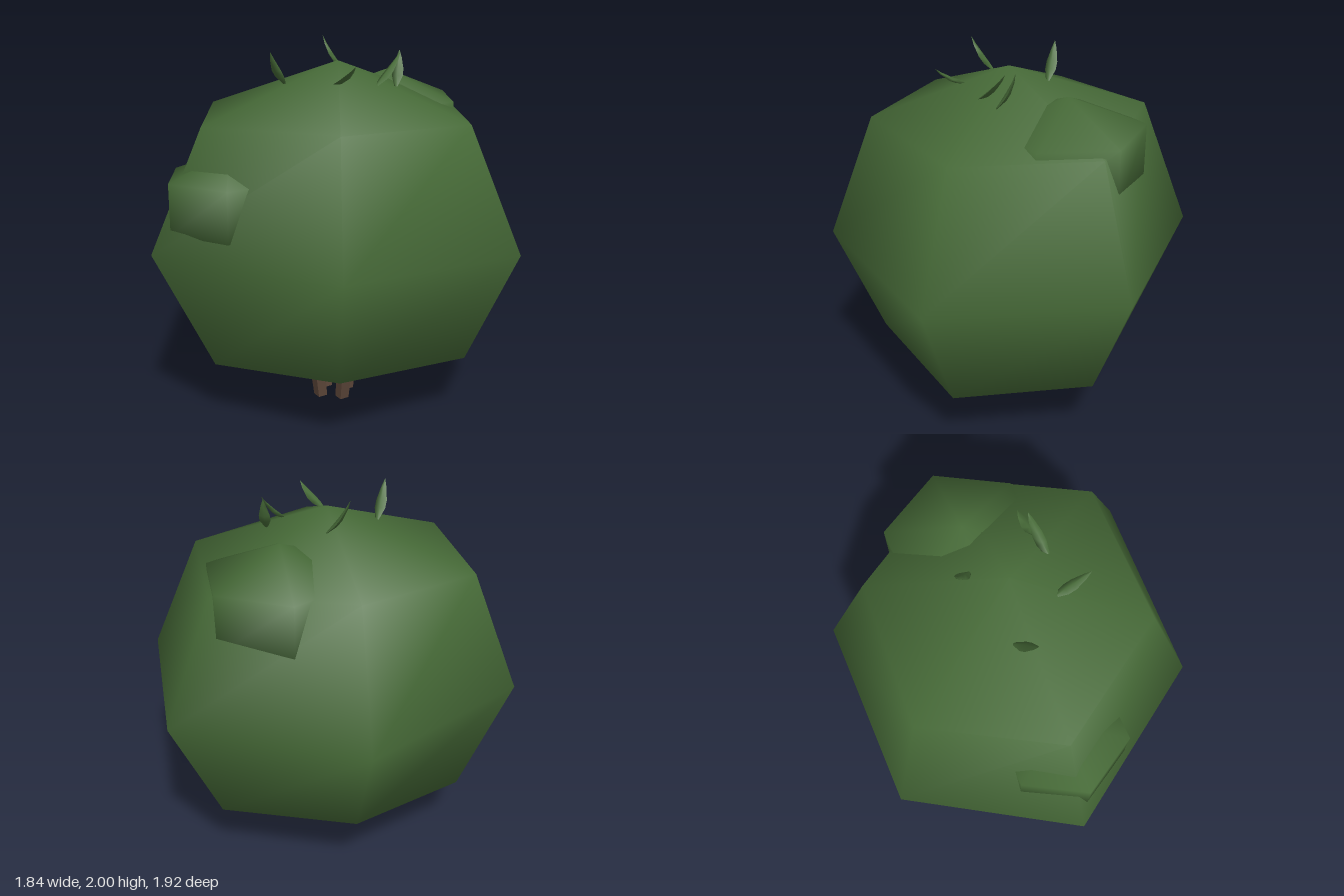
import * as THREE from 'three';

const foliage = new THREE.MeshStandardMaterial({ color: 0x476b38 });
foliage.name = 'leaf green';
const bark = new THREE.MeshStandardMaterial({ color: 0x5b4538 });
bark.name = 'bark brown';

// Smooth closed solid from a bottom pole, six-point rings going up, and a top pole.
function blob(bottom, rings, top) {
  const n = 6;
  const points = [bottom, ...rings.flat(), top];
  const last = points.length - 1;
  const index = [];
  for (let i = 0; i < n; i++) {
    const j = (i + 1) % n;
    index.push(0, 1 + j, 1 + i);
    for (let r = 0; r < rings.length - 1; r++) {
      const a = 1 + r * n + i, b = 1 + r * n + j;
      index.push(a, b, b + n, a, b + n, a + n);
    }
    index.push(last - n + i, last - n + j, last);
  }
  const g = new THREE.BufferGeometry();
  g.setAttribute('position', new THREE.Float32BufferAttribute(points.flat(), 3));
  g.setIndex(index);
  g.computeVertexNormals();
  return g;
}

// Regular hexagon ring with one corner facing the front.
function hexRing(cx, y, cz, r) {
  return Array.from({ length: 6 }, (_, i) => {
    const t = i * Math.PI / 3;
    return [cx + r * Math.sin(t), y, cz + r * Math.cos(t)];
  });
}

function clumpGeometry(x, y, z, r) {
  const h = r * 0.385;
  return blob([x, y - 2 * h, z], [hexRing(x, y - h, z, r), hexRing(x, y + h, z, r)], [x, y + 2 * h, z]);
}

// Thin pointed blade running from base to tip.
function bladeMesh(base, tip) {
  const a = new THREE.Vector3(...base), dir = new THREE.Vector3(...tip).sub(a);
  const length = dir.length();
  dir.normalize();
  const side = new THREE.Vector3().crossVectors(dir, new THREE.Vector3(0, 1, 0)).normalize();
  const normal = new THREE.Vector3().crossVectors(side, dir);
  const profile = [[0.008, 0], [0.028, 0.3], [0.028, 0.5], [0.014, 0.8], [0, 1]]
    .map(([r, t]) => new THREE.Vector2(r, t * length));
  const g = new THREE.LatheGeometry(profile, 4, Math.PI / 2);
  g.scale(1, 1, 0.4);
  // gentle arch along the length
  const p = g.attributes.position;
  for (let i = 0; i < p.count; i++) {
    const t = p.getY(i) / length;
    p.setZ(i, p.getZ(i) - 0.06 * t * (1 - t));
  }
  g.computeVertexNormals();
  g.applyMatrix4(new THREE.Matrix4().makeBasis(side, dir, normal).setPosition(a));
  return new THREE.Mesh(g, foliage);
}

export function createModel() {
  const model = new THREE.Group();
  model.name = 'bush';
  const add = (mesh, name) => { mesh.name = name; model.add(mesh); };

  // Main rounded crown, slightly irregular
  const lower = [[0, 0.4, 0.71], [0.68, 0.36, 0.36], [0.66, 0.37, -0.36],
    [0, 0.41, -0.67], [-0.64, 0.36, -0.36], [-0.64, 0.35, 0.36]];
  const middle = [[0, 1, 0.96], [0.915, 0.98, 0.5], [0.91, 0.98, -0.48],
    [0, 1, -0.96], [-0.885, 1, -0.45], [-0.92, 1.01, 0.5]];
  const upper = [[0, 1.64, 0.715], [0.665, 1.62, 0.36], [0.66, 1.62, -0.37],
    [0, 1.67, -0.7], [-0.66, 1.62, -0.36], [-0.665, 1.62, 0.37]];
  add(new THREE.Mesh(blob([0.02, 0.1, 0.03], [lower, middle, upper], [0.02, 1.895, 0.01]), foliage), 'crown');

  // Smaller clumps pushing out of the crown
  add(new THREE.Mesh(clumpGeometry(0.3, 1.51, -0.25, 0.395), foliage), 'upperClump');
  add(new THREE.Mesh(clumpGeometry(-0.53, 1.24, 0.33, 0.335), foliage), 'sideClump');

  // Loose leaves on top
  const leaves = [
    [[-0.255, 1.78, 0.06], [-0.325, 1.96, 0.18]],
    [[0.06, 1.82, -0.18], [-0.05, 2, -0.23]],
    [[-0.01, 1.8, 0.22], [0.09, 1.91, 0.385]],
    [[0.2, 1.78, 0.18], [0.34, 1.945, 0.06]],
    [[0.315, 1.77, 0.1], [0.34, 1.95, 0.01]],
  ];
  leaves.forEach(([base, tip], i) => add(bladeMesh(base, tip), 'leaf' + (i + 1)));

  // Four short stems, spreading outward as they rise into the crown
  for (let i = 0; i < 4; i++) {
    const g = new THREE.CylinderGeometry(0.046, 0.038, 0.26, 4, 1).toNonIndexed();
    g.rotateY(Math.PI / 4);
    g.translate(0, 0.13, 0);
    const p = g.attributes.position;
    for (let k = 0; k < p.count; k++) p.setZ(k, p.getZ(k) + 0.088 + 0.12 * p.getY(k));
    g.computeVertexNormals();
    g.rotateY(0.52 + i * Math.PI / 2);
    add(new THREE.Mesh(g, bark), 'stem' + (i + 1));
  }
  return model;
}
